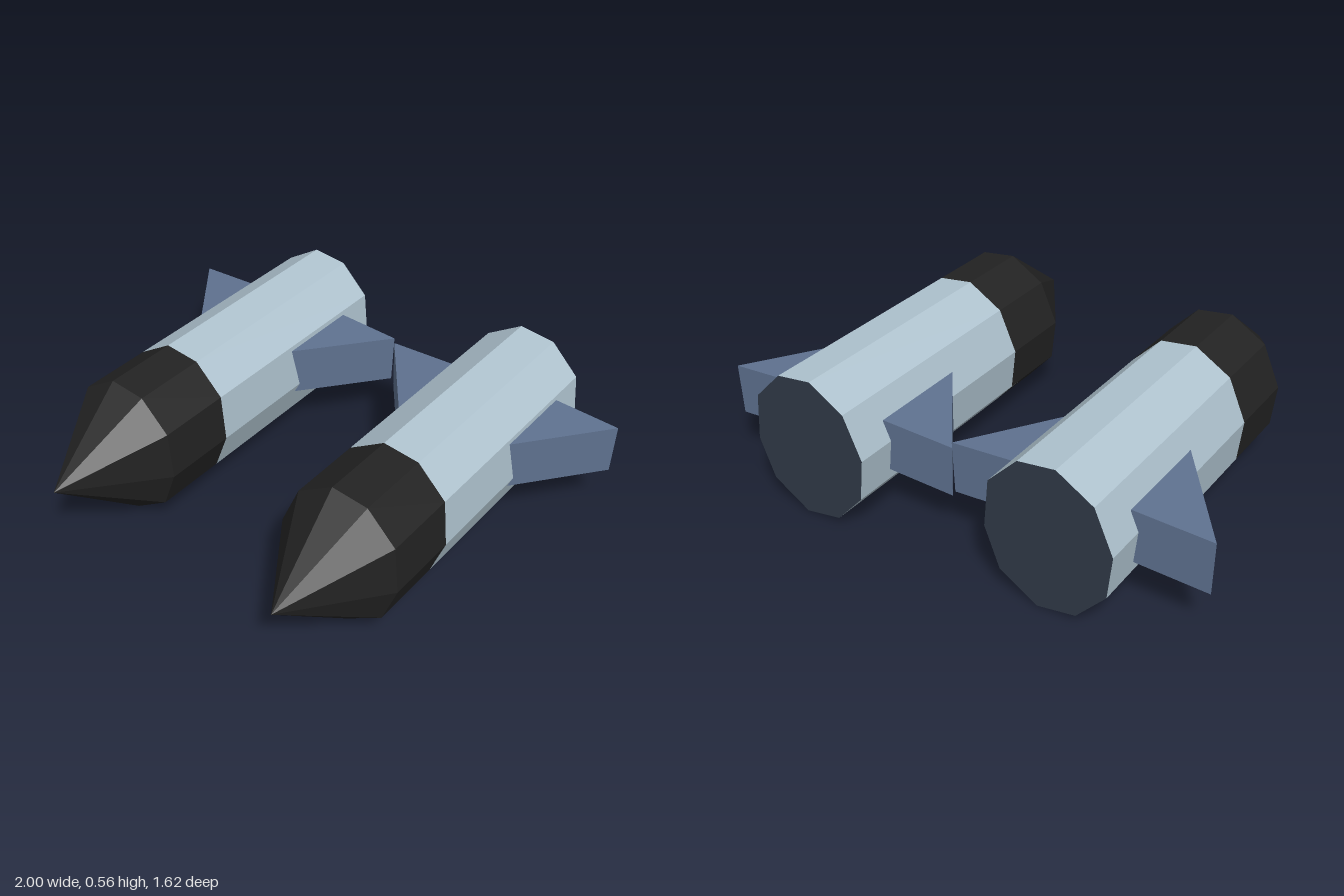
import * as THREE from 'three';

const mat = (name, color) => {
  const m = new THREE.MeshStandardMaterial({ color, flatShading: true });
  m.name = name;
  return m;
};

// Build a mesh from a flat list of Vector3 triangle corners
function facetMesh(name, corners, material) {
  const geo = new THREE.BufferGeometry().setFromPoints(corners);
  geo.computeVertexNormals();
  const mesh = new THREE.Mesh(geo, material);
  mesh.name = name;
  return mesh;
}

const V = (x, y, z) => new THREE.Vector3(x, y, z);
const quad = (a, b, c, d) => [a, b, c, a, c, d];

// Slightly irregular ten-sided hull section, counter-clockwise from the front
const SECTION = [
  [-0.52, 0.567], [-0.66, 0.48], [-0.73, 0.315], [-0.71, 0.15], [-0.596, 0.027],
  [-0.447, 0.003], [-0.30, 0.097], [-0.243, 0.25], [-0.262, 0.435], [-0.377, 0.55],
];
const BACK = -0.81, SHOULDER = 0.435, TIP = V(-0.482, 0.3, 0.81);

function createRocket(mats) {
  const rocket = new THREE.Group();
  const hull = [], nose = [], cap = [];
  const middle = V(-0.485, 0.285, BACK);

  SECTION.forEach((p, i) => {
    const q = SECTION[(i + 1) % SECTION.length];
    // the dark nose starts further forward on the underside
    const seam = Math.max(p[1], q[1]) < 0.16 ? 0.187 : 0.135;
    const at = (s, z) => V(s[0], s[1], z);
    hull.push(...quad(at(p, BACK), at(q, BACK), at(q, seam), at(p, seam)));
    nose.push(...quad(at(p, seam), at(q, seam), at(q, SHOULDER), at(p, SHOULDER)));
    nose.push(at(p, SHOULDER), at(q, SHOULDER), TIP);
    cap.push(at(q, BACK), at(p, BACK), middle);
  });
  rocket.add(
    facetMesh('hull', hull, mats.hull),
    facetMesh('nose', nose, mats.nose),
    facetMesh('rearCap', cap, mats.cap),
  );

  // Triangular fins, drooping slightly outward, roots sunk into the hull
  const fin = (name, rootX, tipX, rootTop, tipTop, frontZ) => {
    const backZ = -0.65, h = 0.2, side = Math.sign(tipX - rootX);
    const ring = (drop) => [
      V(rootX - side * drop * 0.03, rootTop - drop, frontZ),
      V(tipX - side * drop * 0.03, tipTop - drop, backZ),
      V(rootX - side * drop * 0.03, rootTop - drop, backZ),
    ];
    let [top, low] = [ring(0), ring(h)];
    if (side < 0) { top.reverse(); low.reverse(); }
    const corners = [top[0], top[1], top[2], low[2], low[1], low[0]];
    for (let i = 0; i < 3; i++) {
      const j = (i + 1) % 3;
      corners.push(...quad(top[i], low[i], low[j], top[j]));
    }
    rocket.add(facetMesh(name, corners, mats.fin));
  };
  fin('leftFin', -0.29, 0, 0.418, 0.402, -0.26);
  fin('rightFin', -0.70, -1, 0.392, 0.38, -0.24);
  return rocket;
}

export function createModel() {
  const model = new THREE.Group();
  model.name = 'rocketPair';
  const mats = {
    hull: mat('paleSteel', 0xb0c4d0),
    nose: mat('black', 0x222222),
    fin: mat('slateBlue', 0x5f7290),
    cap: mat('darkSlate', 0x303a47),
  };
  // Two identical rockets side by side
  ['rightRocket', 'leftRocket'].forEach((name, i) => {
    const rocket = createRocket(mats);
    rocket.name = name;
    rocket.position.x = i;
    model.add(rocket);
  });
  return model;
}
